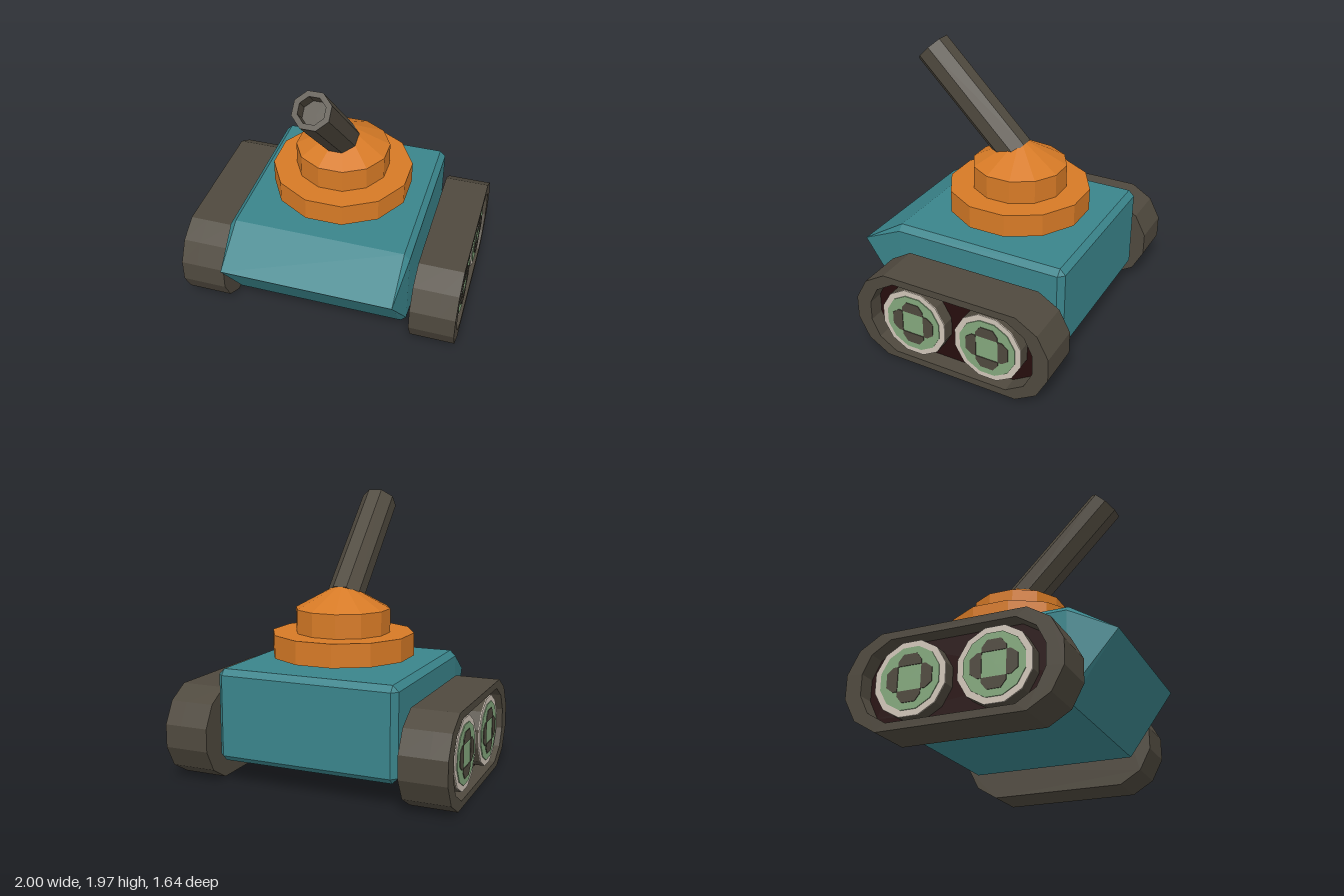
import * as THREE from 'three';
import { ConvexGeometry } from 'three/addons/geometries/ConvexGeometry.js';

const paint = (name, color) => {
  const m = new THREE.MeshStandardMaterial({ color });
  m.name = name;
  return m;
};

// Unshared vertices give every facet its own normal
function flat(geometry) {
  const g = geometry.index ? geometry.toNonIndexed() : geometry;
  g.computeVertexNormals();
  return g;
}

function add(parent, name, geometry, material, x = 0, y = 0, z = 0) {
  const mesh = new THREE.Mesh(flat(geometry), material);
  mesh.name = name;
  mesh.position.set(x, y, z);
  parent.add(mesh);
  return mesh;
}

// Regular prism measured across its flats, with flats facing the axes
function prism(halfWidth, height, sides, topHalfWidth = halfWidth) {
  const k = 1 / Math.cos(Math.PI / sides);
  return new THREE.CylinderGeometry(topHalfWidth * k, halfWidth * k, height, sides, 1, false, Math.PI / sides);
}

// Closed outline mirrored left to right from its right half, listed bottom to top
function mirroredOutline(half) {
  return [...half, ...[...half].reverse().map(([a, b]) => [-a, b])].map(([a, b]) => new THREE.Vector2(a, b));
}

// Side outline pushed out along +x
function sidePlate(outline, depth, hole) {
  const shape = new THREE.Shape(outline);
  if (hole) shape.holes.push(new THREE.Path(hole));
  return new THREE.ExtrudeGeometry(shape, { depth, bevelEnabled: false }).rotateY(Math.PI / 2);
}

export function createModel() {
  const teal = paint('teal hull', 0x3a848b);
  const orange = paint('orange turret', 0xd67a26);
  const brown = paint('dark metal', 0x4f493e);
  const maroon = paint('track recess', 0x260d0d);
  const cream = paint('wheel rim', 0xd0c5b8);
  const green = paint('wheel hub', 0x84a87d);

  const model = new THREE.Group();
  model.name = 'tank';

  // Bevelled hull with a wedge nose
  const hull = [];
  for (const s of [-1, 1]) {
    for (const z of [0.5, -0.7]) {
      hull.push([0.6 * s, 0.8, z], [0.64 * s, 0.76, z], [0.64 * s, 0.205, z], [0.6 * s, 0.165, z]);
    }
    hull.push([0.6 * s, 0.76, -0.74], [0.6 * s, 0.205, -0.74], [0.6 * s, 0.6, 0.82]);
  }
  add(model, 'hull', new ConvexGeometry(hull.map((p) => new THREE.Vector3(...p))), teal);

  // Stepped turret on a short neck
  const turret = new THREE.Group();
  turret.name = 'turret';
  turret.position.z = -0.1;
  model.add(turret);
  add(turret, 'neck', prism(0.085, 0.1, 8), brown, 0, 0.81);
  add(turret, 'turretBase', prism(0.48, 0.16, 12), orange, 0, 0.92);
  add(turret, 'turretDrum', prism(0.32, 0.165, 12), orange, 0, 1.0825);
  add(turret, 'turretRoof', prism(0.32, 0.18, 12, 0.001), orange, 0, 1.255);

  // Hollow eight-sided barrel raised 45 degrees
  const length = 0.92, outer = 0.128, bore = 0.09;
  const profile = [[0, 0], [outer, 0], [outer, length], [bore, length], [bore, length - 0.12], [0, length - 0.12]];
  const barrel = add(
    model, 'barrel',
    new THREE.LatheGeometry(profile.map(([r, y]) => new THREE.Vector2(r, y)), 8, Math.PI / 8),
    brown, 0, 1.882 - length * Math.SQRT1_2, 0.58 - length * Math.SQRT1_2
  );
  barrel.rotation.x = Math.PI / 4;

  // Axles through the hull
  for (const z of [0.18, -0.38]) {
    add(model, 'axle', new THREE.BoxGeometry(1.4, 0.08, 0.08), brown, 0, 0.32, z);
  }

  // Tracks, the second one turned half round
  const belt = mirroredOutline([[0.49, 0], [0.64, 0.09], [0.72, 0.24], [0.72, 0.4], [0.64, 0.55], [0.49, 0.64]]);
  const opening = mirroredOutline([[0.42, 0.05], [0.55, 0.13], [0.61, 0.25], [0.61, 0.39], [0.55, 0.51], [0.42, 0.59]]);
  const slot = [[-0.08, 0.08], [0.08, 0.08], [0.08, 0.11], [0.045, 0.155], [-0.045, 0.155], [-0.08, 0.11]]
    .map(([a, b]) => new THREE.Vector2(a, b));

  for (const [name, turn] of [['leftTrack', 0], ['rightTrack', Math.PI]]) {
    const track = new THREE.Group();
    track.name = name;
    track.position.z = -0.1;
    track.rotation.y = turn;
    model.add(track);
    add(track, 'trackBody', sidePlate(belt, 0.2), brown, 0.68);
    add(track, 'trackBelt', sidePlate(belt, 0.12, opening), brown, 0.88);
    add(track, 'trackRecess', sidePlate(opening, 0.008), maroon, 0.88);

    // Wheels with a pale rim, hub and four slots
    for (const z of [0.28, -0.28]) {
      const wheel = new THREE.Group();
      wheel.name = 'wheel';
      wheel.position.set(0, 0.32, z);
      track.add(wheel);
      const disc = (part, r, x0, x1, m) =>
        add(wheel, part, prism(r, x1 - x0, 12).rotateZ(-Math.PI / 2), m, (x0 + x1) / 2);
      disc('tyre', 0.24, 0.88, 0.975, brown);
      disc('wheelRim', 0.24, 0.975, 0.981, cream);
      disc('wheelHub', 0.2, 0.981, 0.987, green);
      for (let i = 0; i < 4; i++) {
        add(wheel, 'hubSlot', sidePlate(slot, 0.005), brown, 0.987).rotation.x = (i * Math.PI) / 2;
      }
    }
  }
  return model;
}
